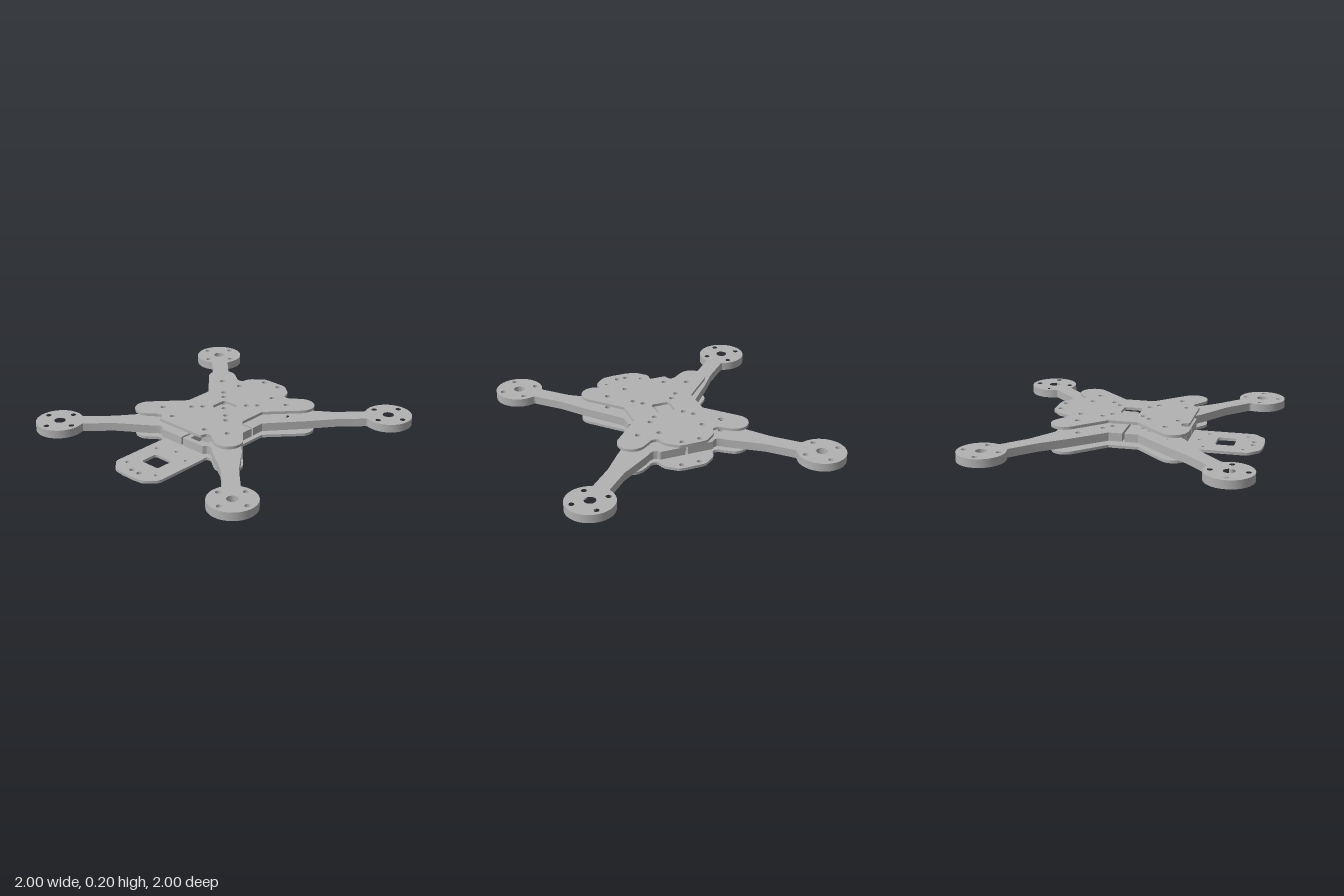
import * as THREE from 'three';
import { toCreasedNormals } from 'three/addons/utils/BufferGeometryUtils.js';

const V = (x, z) => new THREE.Vector2(x, z);

// Points along an arc, angles in degrees
function arc(cx, cz, r, from, to, n = 12) {
  const pts = [];
  for (let i = 0; i <= n; i++) {
    const a = THREE.MathUtils.degToRad(from + ((to - from) * i) / n);
    pts.push(V(cx + r * Math.cos(a), cz + r * Math.sin(a)));
  }
  return pts;
}

const circle = (x, z, r = 0.019) => arc(x, z, r, 0, 360, 24).slice(0, -1);

function roundedRect(x0, x1, z0, z1, r) {
  return [
    ...arc(x1 - r, z1 - r, r, 0, 90, 6), ...arc(x0 + r, z1 - r, r, 90, 180, 6),
    ...arc(x0 + r, z0 + r, r, 180, 270, 6), ...arc(x1 - r, z0 + r, r, 270, 360, 6),
  ];
}

const flip = (pts, sx, sz) => pts.map((p) => V(p.x * sx, p.y * sz));

// Flat plate drawn in x/z, spanning y0..y1
function plate(name, outline, holes, y0, y1, material) {
  const shape = new THREE.Shape(outline);
  shape.holes = holes.map((h) => new THREE.Path(h));
  let geo = new THREE.ExtrudeGeometry(shape, { depth: y1 - y0, bevelEnabled: false });
  geo.rotateX(Math.PI / 2);
  geo.translate(0, y1, 0);
  geo = toCreasedNormals(geo, 0.5);
  const mesh = new THREE.Mesh(geo, material);
  mesh.name = name;
  return mesh;
}

// Mirror a right-hand half outline into a closed one
function closeHalf(half) {
  return [...half, ...flip(half, -1, 1).reverse()];
}

export function createModel() {
  const group = new THREE.Group();
  group.name = 'quadcopterFrame';
  const gray = new THREE.MeshStandardMaterial({ color: 0xb2b2b2 });
  gray.name = 'plate gray';

  // Shared body edge: rear tab, rear lobe, waist, front lobe
  const lobe = [V(0.23, 0.405), V(0.255, 0.411), V(0.272, 0.425), ...arc(0.38, 0.38, 0.1, 128, -45, 20), V(0.26, 0.105)];
  const bodyHalf = [
    V(0.06, -0.55), V(0.1, -0.545), V(0.175, -0.485), V(0.192, -0.455), V(0.2, -0.42), V(0.212, -0.408),
    ...flip(lobe, 1, -1),
    ...lobe.slice().reverse(),
    V(0.212, 0.413), V(0.203, 0.43),
  ];

  // Holes common to both plates
  const plateHoles = [roundedRect(-0.068, 0.068, -0.068, 0.068, 0.025)];
  for (const s of [1, -1]) {
    for (const t of [1, -1]) {
      plateHoles.push(circle(s * 0.31, t * 0.31, 0.02), circle(s * 0.165, t * 0.167), circle(s * 0.11, t * 0.11));
    }
    plateHoles.push(circle(s * 0.16, -0.33), circle(s * 0.155, 0.37), circle(s * 0.065, -0.505));
  }

  // Top plate ends just ahead of the front lobes
  group.add(plate('topPlate', closeHalf([...bodyHalf, V(0.2, 0.45), V(0.19, 0.456)]), plateHoles, 0.18, 0.2, gray));

  // Bottom plate carries a forward tray with a window
  const trayHoles = [roundedRect(-0.078, 0.078, 0.615, 0.75, 0.02), circle(0, 0.492, 0.013)];
  for (const s of [1, -1]) {
    trayHoles.push(circle(s * 0.14, 0.545, 0.013), circle(s * 0.14, 0.825, 0.013), circle(s * 0.034, 0.88));
  }
  const trayEdge = [V(0.21, 0.45), V(0.21, 0.85), V(0.2, 0.872), V(0.14, 0.932), V(0.12, 0.941), V(0.05, 0.95)];
  group.add(plate('bottomPlate', closeHalf([...bodyHalf, ...trayEdge]), [...plateHoles, ...trayHoles], 0, 0.02, gray));

  // Arm with motor mount; inner edges leave a narrow gap between arms
  const m = 0.83;
  const armOutline = [
    V(0.008, 0.008), V(0.26, 0.008), V(0.26, 0.105), V(0.475, 0.355), V(0.6, 0.515), V(0.755, 0.67),
    ...arc(m, m, 0.17, -112, 202, 48),
    V(0.67, 0.755), V(0.515, 0.6), V(0.31, 0.46), V(0.26, 0.418), V(0.235, 0.408), V(0.21, 0.415), V(0.195, 0.435),
    V(0.008, 0.435),
  ];
  const armHoles = [
    circle(m, m, 0.04),
    circle(m + 0.124, m), circle(m - 0.124, m), circle(m, m + 0.124), circle(m, m - 0.124),
    circle(0.31, 0.31, 0.02), circle(0.165, 0.167), circle(0.11, 0.11),
    roundedRect(0.045, 0.185, 0.29, 0.4, 0.01),
  ];
  for (const sx of [1, -1]) {
    for (const sz of [1, -1]) {
      const name = (sz > 0 ? 'front' : 'rear') + (sx > 0 ? 'Left' : 'Right') + 'Arm';
      group.add(plate(name, flip(armOutline, sx, sz), armHoles.map((h) => flip(h, sx, sz)), 0.05, 0.11, gray));
    }
  }
  return group;
}
